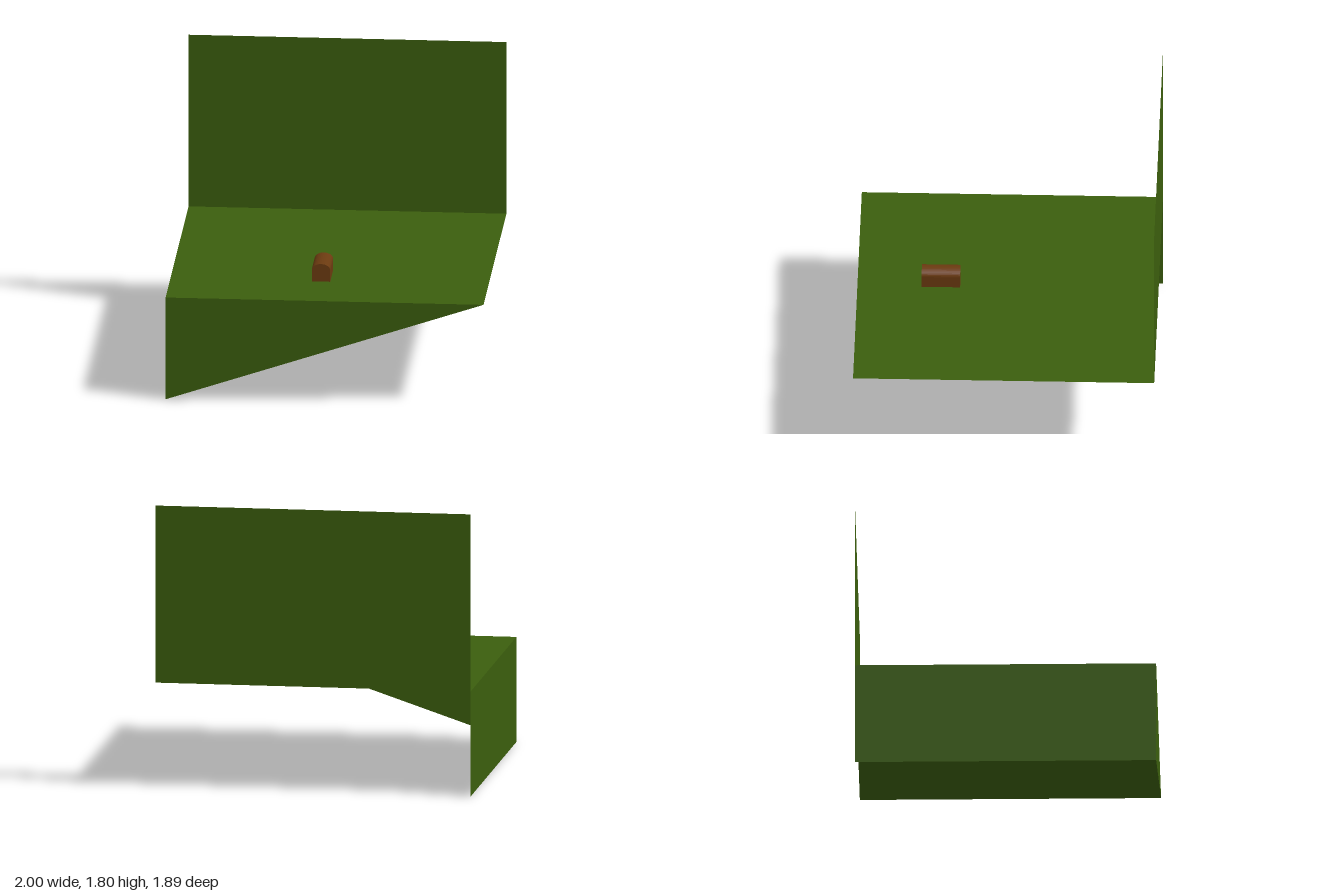
import * as THREE from 'three';

const W = 1, D = 0.945, FLOOR = 0.67, TOP = 1.8;

export function createModel() {
  const model = new THREE.Group();
  const green = new THREE.MeshStandardMaterial({ color: 0x3b5e0d, side: THREE.DoubleSide });
  green.name = 'grass green';
  const brown = new THREE.MeshStandardMaterial({ color: 0x6b3a10 });
  brown.name = 'wood brown';

  const add = (name, geometry, material, x, y, z) => {
    const mesh = new THREE.Mesh(geometry, material);
    mesh.name = name;
    mesh.position.set(x, y, z);
    model.add(mesh);
    return mesh;
  };

  // Thin ground sheet and upright back sheet
  add('ground', new THREE.PlaneGeometry(2 * W, 2 * D).rotateX(-Math.PI / 2), green, 0, FLOOR, 0);
  add('backWall', new THREE.PlaneGeometry(2 * W, TOP - FLOOR), green, 0, (TOP + FLOOR) / 2, -D);

  // Skirt below the ground on the -x side
  add('sideSkirt', new THREE.PlaneGeometry(2 * D, FLOOR).rotateY(-Math.PI / 2), green, -W, FLOOR / 2, 0);

  // Triangular skirt below the front edge
  const triangle = new THREE.Shape([
    new THREE.Vector2(-W, 0),
    new THREE.Vector2(W, FLOOR),
    new THREE.Vector2(-W, FLOOR),
  ]);
  add('frontSkirt', new THREE.ShapeGeometry(triangle), green, 0, 0, D);

  // Chest with an arched lid
  const half = 0.058, side = 0.075, rise = 0.04;
  const arch = new THREE.Shape();
  arch.moveTo(-half, 0);
  arch.lineTo(half, 0);
  arch.lineTo(half, side);
  arch.absellipse(0, side, half, rise, 0, Math.PI, false, 0);
  arch.closePath();
  const chest = new THREE.ExtrudeGeometry(arch, { depth: 0.242, bevelEnabled: false, curveSegments: 8 });
  add('chest', chest, brown, -0.053, FLOOR, 0.3);

  return model;
}
